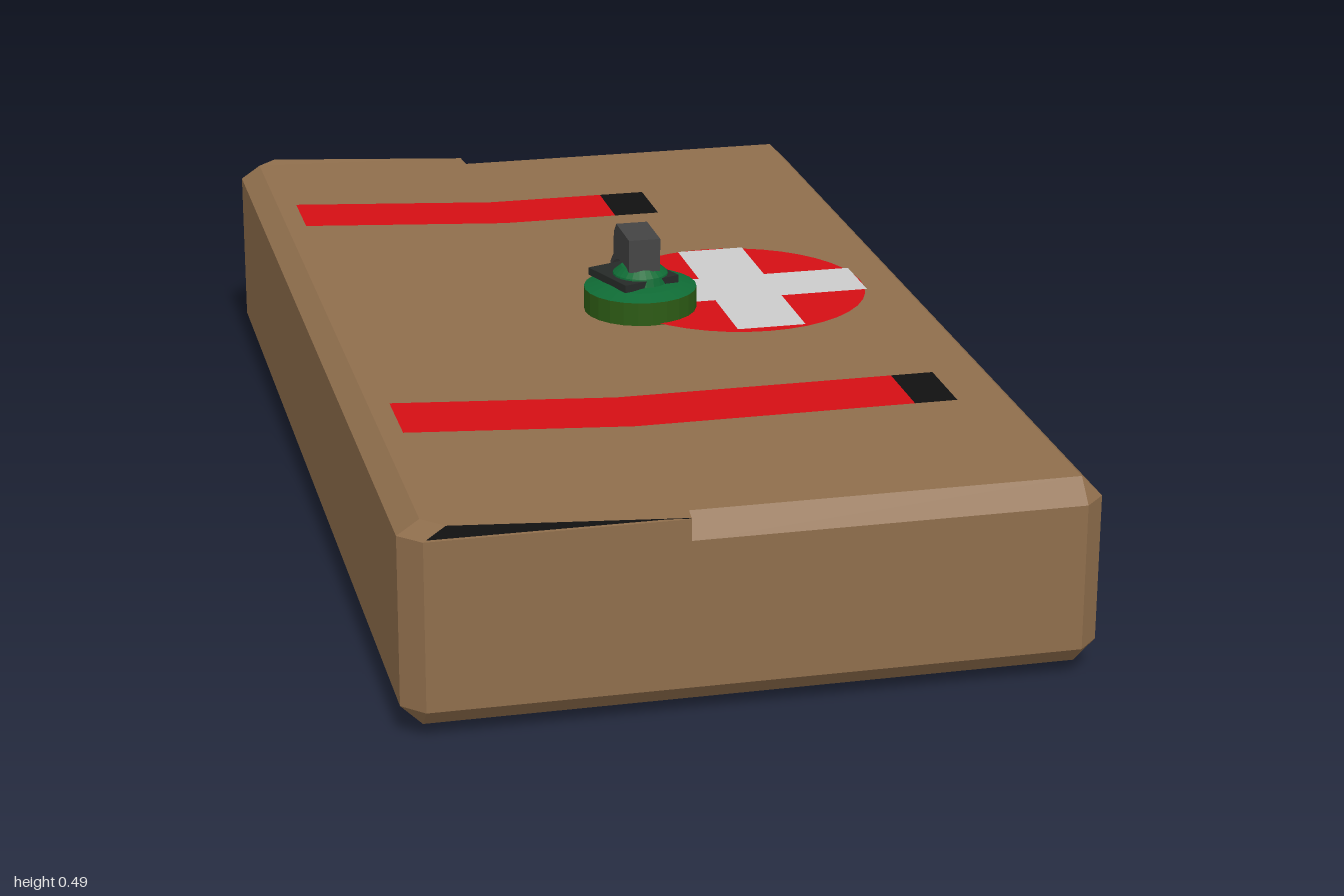
import * as THREE from 'three';

const mat = (color, flat = true) =>
  new THREE.MeshStandardMaterial({ color, flatShading: flat, side: THREE.DoubleSide });
const BROWN = mat(0x8f6e4c), RED = mat(0xd40f14), BLACK = mat(0x111111);
const GREEN = mat(0x0f6b35), OLIVE = mat(0x2c5a14), GREY = mat(0x444444), DARK = mat(0x262a28);
const WHITE = mat(0xcccccc);

// Flat-shaded geometry from convex polygons, each fanned from its first corner
function polygons(list) {
  const pos = [];
  for (const p of list)
    for (let i = 1; i < p.length - 1; i++) pos.push(...p[0], ...p[i], ...p[i + 1]);
  const g = new THREE.BufferGeometry();
  g.setAttribute('position', new THREE.Float32BufferAttribute(pos, 3));
  g.computeVertexNormals();
  return g;
}

// Thin band following an [x, y] path between two z values
function band(path, z0, z1) {
  const quads = [];
  for (let i = 0; i < path.length - 1; i++) {
    const [a, b] = [path[i], path[i + 1]];
    quads.push([[...a, z0], [...a, z1], [...b, z1], [...b, z0]]);
  }
  return polygons(quads);
}

// Counter-clockwise outline (from above), split at the flap seam
const X = 0.577, Z = 1, C = 0.036, SEAM = -0.115, TOP = 0.345;
function outline(y, right, left) {
  // right / left: 0 = corner-cut outline, 1 = inset rectangle
  const rx = right ? X - C : X, lx = left ? X - C : X;
  const rz = right ? Z - C : Z, lz = left ? Z - C : Z;
  const half = [
    [rx, -(Z - C)], [X - C, -rz], [SEAM, -rz], [SEAM, -lz], [-(X - C), -lz], [-lx, -(Z - C)],
  ];
  const mirrored = half.map(([x, z]) => [x, -z]).reverse();
  return [...half, ...mirrored].map(([x, z]) => [x, y, z]);
}

function caseGeometry() {
  const rings = [outline(0.02, 1, 1), outline(0.055, 0, 0), outline(0.308, 0, 0), outline(TOP, 1, 0)];
  const faces = [], n = rings[0].length;
  for (let i = 0; i < n; i++) {
    const j = (i + 1) % n;
    for (let r = 0; r < 3; r++) faces.push([rings[r][i], rings[r][j], rings[r + 1][j], rings[r + 1][i]]);
    faces.push([[0, TOP, 0], rings[3][i], rings[3][j]]);
    faces.push([[0, 0.02, 0], rings[0][j], rings[0][i]]);
  }
  return polygons(faces);
}

// Flap sheet, rising from the seam, with a bevelled outer lip
function flapFaces(drop) {
  const y = 0.37 - drop;
  return [[
    [SEAM, TOP + 0.002 - drop, -Z], [-0.505, y, -Z], [-0.54, y, -Z + C],
    [-0.54, y, Z - C], [-0.505, y, Z], [SEAM, TOP + 0.002 - drop, Z],
  ]];
}

function lipFaces() {
  const faces = [[[-X, TOP, -Z + C], [-X, TOP, Z - C], [-0.54, 0.37, Z - C], [-0.54, 0.37, -Z + C]]];
  for (const s of [1, -1]) {
    const q = [[-X, TOP, s * (Z - C)], [-X + C, TOP, s * Z], [-0.505, 0.37, s * Z], [-0.54, 0.37, s * (Z - C)]];
    faces.push(s > 0 ? q : q.reverse());
  }
  return faces;
}

export function createModel() {
  const model = new THREE.Group();
  const add = (name, geo, material, parent = model) => {
    const m = new THREE.Mesh(geo, material);
    m.name = name;
    parent.add(m);
    return m;
  };

  // Case and its raised flap
  add('case', caseGeometry(), BROWN);
  add('flapGap', band([[-0.54, TOP + 0.001], [SEAM, TOP + 0.001]], -Z + 0.005, Z - 0.005), BLACK);
  add('flap', polygons([...flapFaces(0), ...lipFaces()]), BROWN);
  add('flapUnderside', polygons(flapFaces(0.0012)), BLACK);

  // Straps with black tips
  for (const [z, mid, end] of [[-0.6, 0.108, 0.195], [0.535, 0.372, 0.447]]) {
    const strap = new THREE.Group();
    strap.name = 'strap';
    model.add(strap);
    const y = TOP + 0.007;
    add('strapBand', band([[-0.505, 0.374], [SEAM, y], [mid, y]], z - 0.07, z + 0.07), RED, strap);
    add('strapTip', band([[mid, y], [end, y]], z - 0.07, z + 0.07), BLACK, strap);
  }

  // Round badge with a plain cross
  const badge = new THREE.Group();
  badge.name = 'badge';
  badge.position.set(0.23, TOP + 0.003, -0.055);
  model.add(badge);
  add('badgeDisc', new THREE.CircleGeometry(0.24, 40).rotateX(-Math.PI / 2), RED, badge);
  const a = 0.063, b = 0.227;
  const cross = new THREE.Shape([
    [a, a], [b, a], [b, -a], [a, -a], [a, -b], [-a, -b],
    [-a, -a], [-b, -a], [-b, a], [-a, a], [-a, b], [a, b],
  ].map(([x, y]) => new THREE.Vector2(x, y)));
  add('badgeCross', new THREE.ShapeGeometry(cross).rotateX(-Math.PI / 2), WHITE, badge).position.set(0.008, 0.003, 0);

  // Fuse standing on the case
  const fuse = new THREE.Group();
  fuse.name = 'fuse';
  fuse.position.x = 0.035;
  model.add(fuse);
  const lathe = (name, pts, material) =>
    add(name, new THREE.LatheGeometry(pts.map(([r, y]) => new THREE.Vector2(r, y)), 24), material, fuse);
  lathe('fuseBase', [[0.103, 0.34], [0.103, 0.388]], OLIVE);
  lathe('fuseCollar', [[0.103, 0.388], [0.075, 0.397], [0.053, 0.4], [0.05, 0.415], [0.035, 0.428], [0, 0.428]], GREEN);
  const plate = add('fusePlate', new THREE.BoxGeometry(0.115, 0.014, 0.125), DARK, fuse);
  plate.position.set(-0.01, 0.405, -0.012);
  plate.rotation.y = 0.35;

  // Lever: block that bends down at the back
  const side = new THREE.Shape();
  side.moveTo(-0.035, 0.425);
  side.lineTo(-0.035, 0.486);
  side.lineTo(0.07, 0.486);
  side.lineTo(0.09, 0.465);
  side.lineTo(0.095, 0.42);
  side.lineTo(0.118, 0.4);
  side.lineTo(0.122, 0.36);
  side.lineTo(0.114, 0.36);
  side.lineTo(0.11, 0.395);
  side.lineTo(0.085, 0.412);
  side.lineTo(0.05, 0.425);
  const lever = new THREE.ExtrudeGeometry(side, { depth: 0.058, bevelEnabled: false });
  lever.translate(0, 0, -0.029).rotateY(Math.PI / 2);
  add('fuseLever', lever, GREY, fuse);

  // Hollow fuse socket under the case
  lathe('socketRim', [[0.103, 0.02], [0.103, 0.016], [0.084, 0.016], [0.07, 0.001], [0.062, 0], [0.06, 0.014]].reverse(), DARK);
  lathe('socketFloor', [[0, 0.014], [0.061, 0.014]], GREEN);
  return model;
}
